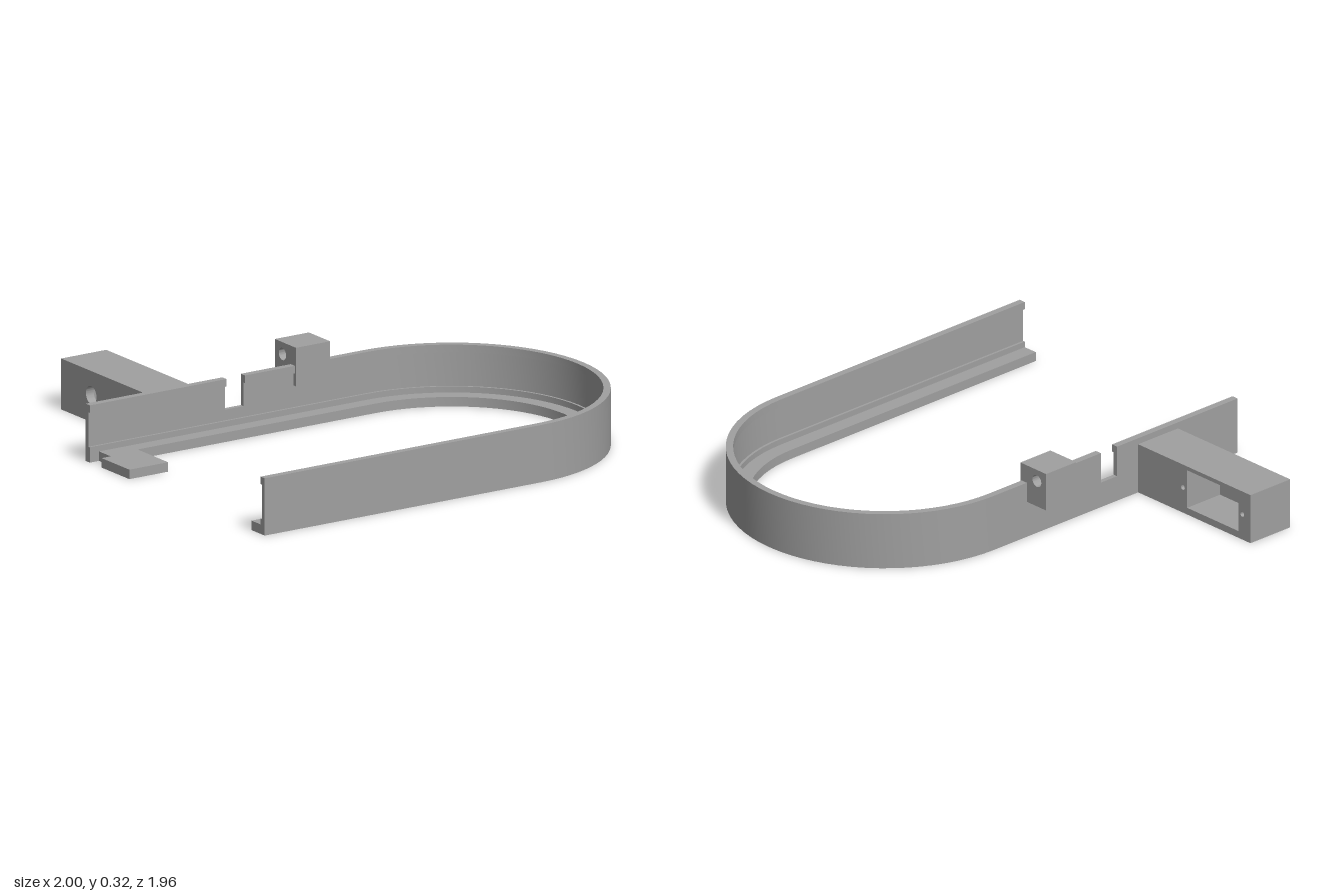
import * as THREE from 'three';
import { toCreasedNormals } from 'three/addons/utils/BufferGeometryUtils.js';

const RADIUS = 0.645, BEND_X = 0.355, MID_Z = 0.33, BACK_Z = MID_Z - RADIUS;

// Sweeps a closed (inward, height) profile along stations { x, z, nx, nz }, with end caps
function sweep(profile, stations) {
  const verts = [], index = [], n = profile.length;
  for (const s of stations)
    for (const [w, y] of profile) verts.push(s.x + s.nx * w, y, s.z + s.nz * w);
  for (let s = 0; s < stations.length - 1; s++) {
    for (let i = 0; i < n; i++) {
      const a = s * n + i, b = s * n + (i + 1) % n;
      index.push(a, b, b + n, a, b + n, a + n);
    }
  }
  const last = (stations.length - 1) * n;
  const caps = THREE.ShapeUtils.triangulateShape(profile.map(([w, y]) => new THREE.Vector2(w, y)), []);
  for (const [a, b, c] of caps) index.push(a, c, b, last + a, last + b, last + c);
  const geo = new THREE.BufferGeometry();
  geo.setAttribute('position', new THREE.Float32BufferAttribute(verts, 3));
  geo.setIndex(index);
  return toCreasedNormals(geo, 0.5);
}

// Block extruded along x from a side rectangle with holes
function sideBlock(x0, x1, z0, z1, y0, y1, holes) {
  const rect = (T, a, b, c, d) => {
    const p = new T();
    p.moveTo(-b, c); p.lineTo(-a, c); p.lineTo(-a, d); p.lineTo(-b, d); p.closePath();
    return p;
  };
  const shape = rect(THREE.Shape, z0, z1, y0, y1);
  for (const h of holes) {
    if (h.r) {
      const p = new THREE.Path();
      p.absarc(-h.z, h.y, h.r, 0, Math.PI * 2, true);
      shape.holes.push(p);
    } else shape.holes.push(rect(THREE.Path, ...h.rect));
  }
  const geo = new THREE.ExtrudeGeometry(shape, { depth: x1 - x0, bevelEnabled: false, curveSegments: 24 });
  geo.rotateY(Math.PI / 2);
  geo.translate(x0, 0, 0);
  return toCreasedNormals(geo, 0.5);
}

export function createModel() {
  const group = new THREE.Group();
  const grey = new THREE.MeshStandardMaterial({ color: 0xa0a0a0 });
  grey.name = 'grey';
  const add = (name, geo) => {
    const mesh = new THREE.Mesh(geo, grey);
    mesh.name = name;
    group.add(mesh);
  };

  // Rail profiles: bottom flange, foot, thin recessed wall, top lip
  const wallTop = [[0.03, 0.065], [0.02, 0.065], [0.02, 0.21], [0.03, 0.21], [0.03, 0.242], [0, 0.242]];
  const full = [[0, 0], [0.095, 0], [0.095, 0.04], [0.03, 0.04], ...wallTop];
  const noFlange = [[0, 0], [0.03, 0], ...wallTop];
  const notched = [[0, 0], [0.095, 0], [0.095, 0.04], [0.03, 0.04], [0.03, 0.065],
    [0.02, 0.065], [0.02, 0.11], [0, 0.11]];

  // U-shaped rail up to the notch
  const back = x => ({ x, z: BACK_Z, nx: 0, nz: 1 });
  const path = [{ x: -1, z: MID_Z + RADIUS, nx: 0, nz: -1 }];
  for (let i = 0; i <= 36; i++) {
    const a = Math.PI / 2 - Math.PI * i / 36, c = Math.cos(a), s = Math.sin(a);
    path.push({ x: BEND_X + RADIUS * c, z: MID_Z + RADIUS * s, nx: -c, nz: -s });
  }
  path.push(back(-0.24));
  add('curvedRail', sweep(full, path));

  // Rest of the back rail
  add('railNotch', sweep(notched, [back(-0.24), back(-0.33)]));
  add('backRail', sweep(full, [back(-0.33), back(-0.955)]));
  add('railEnd', sweep(noFlange, [back(-0.955), back(-1)]));

  // Flat tab at the end of the back rail, with its short neck
  const tab = new THREE.Shape([[-1, 0], [-0.81, 0], [-0.81, 0.22], [-0.955, 0.22], [-0.955, 0.2], [-1, 0.2]]
    .map(([x, y]) => new THREE.Vector2(x, y)));
  const tabGeo = new THREE.ExtrudeGeometry(tab, { depth: 0.04, bevelEnabled: false });
  tabGeo.rotateX(-Math.PI / 2);
  add('endTab', tabGeo);

  // Rear arm: open pocket with screw holes on the left, round hole through the right wall
  add('armPocket', sideBlock(-0.63, -0.447, -0.98, BACK_Z, 0, 0.215, [
    { rect: [-0.91, -0.605, 0.03, 0.198] },
    { z: -0.58, y: 0.113, r: 0.011 }, { z: -0.932, y: 0.113, r: 0.011 },
  ]));
  add('armWall', sideBlock(-0.668, -0.63, -0.98, BACK_Z, 0, 0.215, [{ z: -0.763, y: 0.113, r: 0.038 }]));

  // Drilled block on the back rail
  add('drilledBlock', sideBlock(0.005, 0.172, -0.43, -0.277, 0.157, 0.32, [{ z: -0.375, y: 0.27, r: 0.026 }]));

  return group;
}
